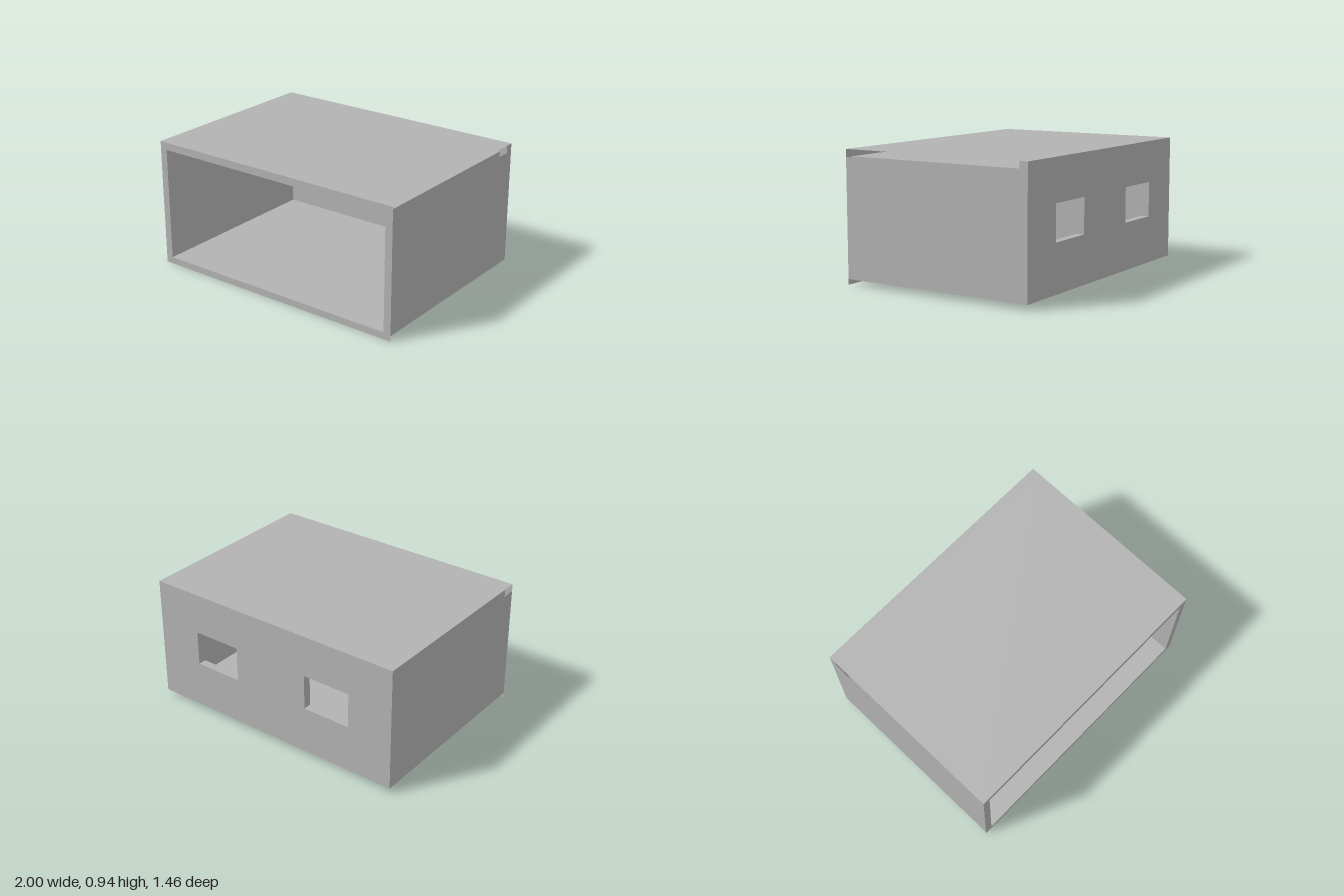
import * as THREE from 'three';

const W = 1, D = 0.73, TOP = 0.94, BASE = 0.04;          // outer shell
const IW = 0.945, FLOOR = 0.05, CEIL = 0.885, BACK = -0.67; // inner room

// Rectangle outline for shapes and holes
function rect(Type, x0, y0, x1, y1) {
  const p = new Type();
  p.moveTo(x0, y0);
  p.lineTo(x1, y0);
  p.lineTo(x1, y1);
  p.lineTo(x0, y1);
  p.closePath();
  return p;
}

export function createModel() {
  const group = new THREE.Group();
  const grey = new THREE.MeshStandardMaterial({ color: 0xb2b2b2, side: THREE.DoubleSide });
  grey.name = 'plainGrey';

  const add = (name, geometry, x = 0, y = 0, z = 0) => {
    const mesh = new THREE.Mesh(geometry, grey);
    mesh.name = name;
    mesh.position.set(x, y, z);
    group.add(mesh);
    return mesh;
  };

  // Horizontal sheet spanning x0..x1 and z0..z1 at height y
  const sheet = (name, x0, x1, z0, z1, y, up = true) => {
    const g = new THREE.PlaneGeometry(x1 - x0, z1 - z0).rotateX(up ? -Math.PI / 2 : Math.PI / 2);
    return add(name, g, (x0 + x1) / 2, y, (z0 + z1) / 2);
  };

  // Upright side sheet at x, facing the given direction
  const sideSheet = (name, x, y0, y1, z0, z1, facing) => {
    const g = new THREE.PlaneGeometry(z1 - z0, y1 - y0).rotateY(facing * Math.PI / 2);
    return add(name, g, x, (y0 + y1) / 2, (z0 + z1) / 2);
  };

  // Back wall slab with two window openings
  const wall = rect(THREE.Shape, -W, BASE, W, TOP);
  for (const x of [-0.66, 0.295]) {
    wall.holes.push(rect(THREE.Path, x, 0.385, x + 0.365, 0.64));
  }
  add('backWall', new THREE.ExtrudeGeometry(wall, { depth: BACK + D, bevelEnabled: false }), 0, 0, -D);

  // Thin frame around the open front
  const frame = rect(THREE.Shape, -W, 0, W, TOP);
  frame.holes.push(rect(THREE.Path, -IW, FLOOR, IW, CEIL));
  add('frontFrame', new THREE.ShapeGeometry(frame), 0, 0, D);

  // Roof skin, ceiling and floor
  sheet('roof', -W, W, BACK, D, TOP);
  sheet('ceiling', -IW, IW, BACK, D, CEIL, false);
  sheet('floor', -IW, IW, BACK, D, FLOOR);

  // Double side walls, open under the roof edge, with bottom rims
  for (const s of [-1, 1]) {
    const side = s > 0 ? 'left' : 'right';
    sideSheet(side + 'OuterWall', s * W, BASE, CEIL, BACK, D, s);
    sideSheet(side + 'InnerWall', s * IW, FLOOR, CEIL, BACK, D, -s);
    sheet(side + 'BottomRim', Math.min(s * W, s * 0.955), Math.max(s * W, s * 0.955), BACK, D, BASE, false);
  }

  return group;
}
